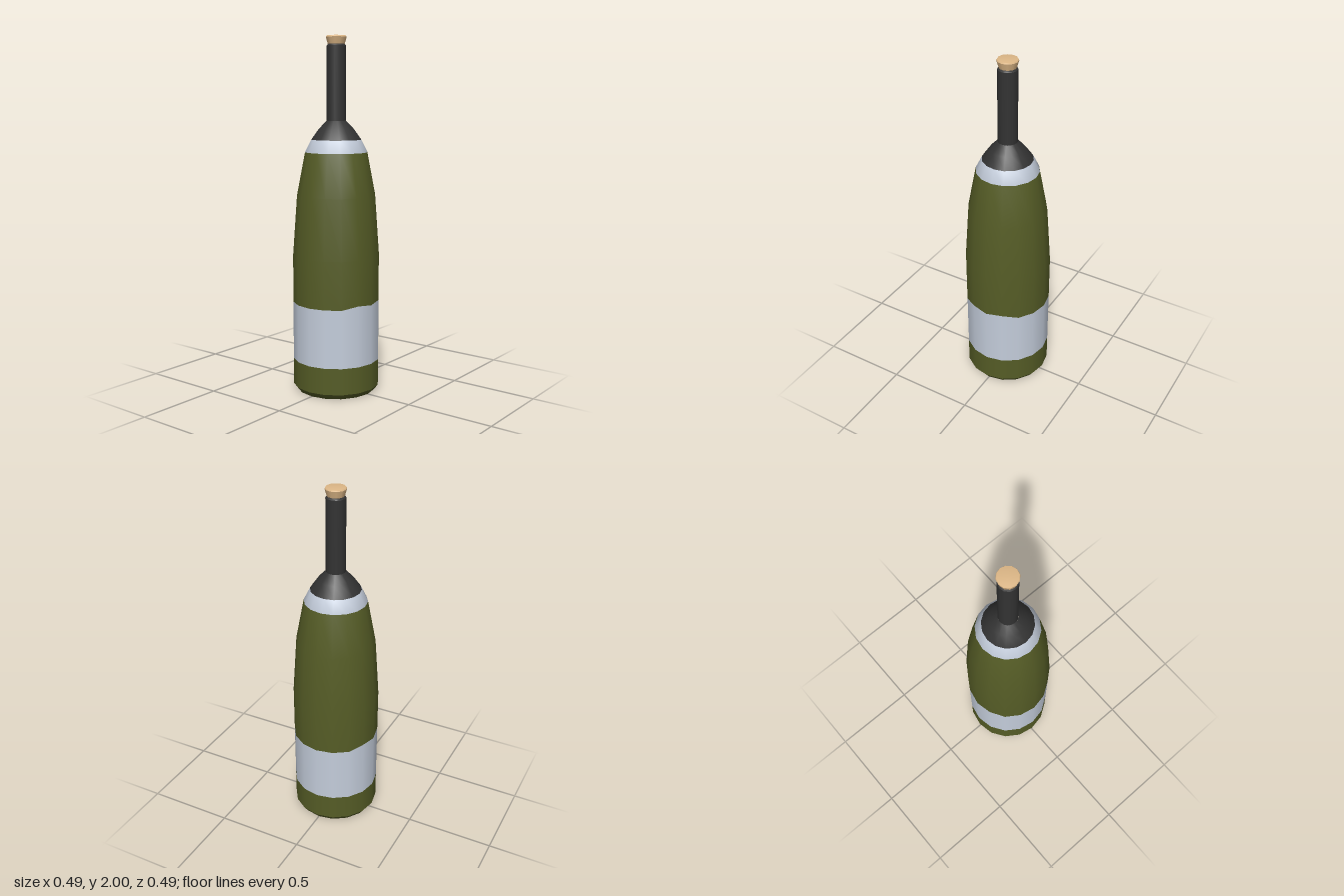
import * as THREE from 'three';

const material = (color) => new THREE.MeshStandardMaterial({ color });
const green = material(0x555c26);
const paper = material(0xc4cddb);
const foil = material(0x333333);
const cork = material(0xdeb887);

// Turned geometry from [radius, height] pairs, listed from bottom to top
const turn = (profile, sides) =>
  new THREE.LatheGeometry(profile.map(([r, y]) => new THREE.Vector2(r, y)), sides);

// Keep only the rows from..to of a turned geometry, so bands share smooth normals
function band(geometry, rows, from, to) {
  const part = geometry.clone();
  const source = geometry.index.array;
  const kept = [];
  for (let i = 0; i < source.length; i += 3) {
    const row = Math.min(source[i] % rows, source[i + 1] % rows, source[i + 2] % rows);
    if (row >= from && row < to) kept.push(source[i], source[i + 1], source[i + 2]);
  }
  part.setIndex(kept);
  return part.toNonIndexed();
}

export function createModel() {
  const group = new THREE.Group();
  group.name = 'bottle';
  const add = (name, geometry, mat) => {
    const mesh = new THREE.Mesh(geometry, mat);
    mesh.name = name;
    group.add(mesh);
  };

  // Body and shoulder share one profile
  const SIDES = 16;
  const profile = [
    [0.246, 0.03], [0.246, 0.18], [0.246, 0.51], [0.246, 0.78],
    [0.222, 1.12], [0.176, 1.36], [0.141, 1.43], [0.098, 1.49], [0.054, 1.535],
  ];
  const rows = profile.length;
  const body = turn(profile, SIDES);

  // Wavy upper label edge, peaking at both sides of the front and back middle
  const labelRow = 2;
  const position = body.attributes.position;
  for (let i = 0; i <= SIDES; i++) {
    const step = i % (SIDES / 2);
    const rise = step === 0 ? 0.008 : step === 1 || step === SIDES / 2 - 1 ? 0.017 : 0;
    const v = i * rows + labelRow;
    position.setY(v, position.getY(v) + rise);
  }

  add('lowerGlass', band(body, rows, 0, 1), green);
  add('label', band(body, rows, 1, 2), paper);
  add('upperGlass', band(body, rows, 2, 5), green);
  add('neckLabel', band(body, rows, 5, 6), paper);
  add('foilCollar', band(body, rows, 6, 8), foil);

  // Bevelled base
  add('base', turn([[0, 0], [0.224, 0], [0.246, 0.03]], SIDES), green);

  // Foil-wrapped neck with a small rim
  add('neck', turn([[0.054, 1.53], [0.054, 1.945]], 12), foil);
  add('neckRim', turn([[0.054, 1.945], [0.045, 1.957], [0, 1.957]], 12), foil);

  // Flared stopper
  add('corkSide', turn([[0.046, 1.95], [0.058, 1.992]], 12), cork);
  add('corkTop', turn([[0.058, 1.992], [0.054, 2], [0, 2]], 12), cork);

  return group;
}
